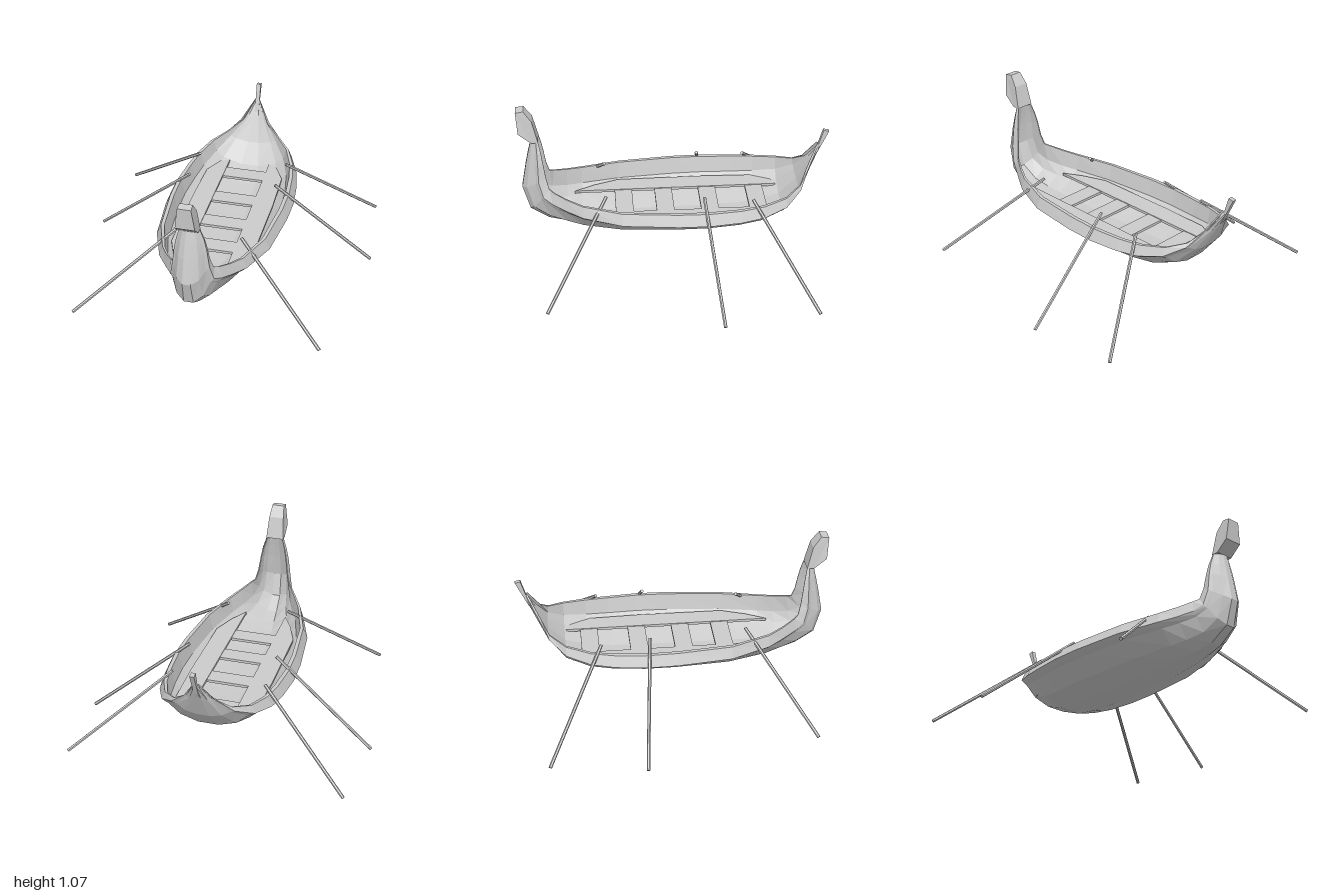
import * as THREE from 'three';

const mat = new THREE.MeshStandardMaterial({ color: 0xcccccc, flatShading: true });

function addMesh(parent, name, geometry) {
  const mesh = new THREE.Mesh(geometry, mat);
  mesh.name = name;
  parent.add(mesh);
  return mesh;
}

// Stations from stern to neck: keel z, keel y, rim z, rim y, half width
const STATIONS = [
  [-0.955, 0.74, -0.925, 0.75, 0.015],
  [-0.89, 0.61, -0.85, 0.61, 0.1],
  [-0.81, 0.455, -0.8, 0.54, 0.2],
  [-0.7, 0.325, -0.7, 0.505, 0.3],
  [-0.55, 0.268, -0.55, 0.485, 0.365],
  [-0.4, 0.248, -0.4, 0.477, 0.395],
  [-0.2, 0.238, -0.2, 0.475, 0.415],
  [0, 0.235, 0, 0.475, 0.41],
  [0.35, 0.237, 0.35, 0.475, 0.37],
  [0.6, 0.25, 0.6, 0.49, 0.28],
  [0.7, 0.262, 0.7, 0.51, 0.22],
  [0.82, 0.285, 0.78, 0.535, 0.165],
  [0.94, 0.36, 0.81, 0.55, 0.135],
  [0.985, 0.52, 0.828, 0.62, 0.115],
  [0.955, 0.68, 0.842, 0.72, 0.1],
  [0.935, 0.77, 0.852, 0.785, 0.085],
  [0.912, 0.865, 0.868, 0.865, 0.058],
];

// Half section: [fraction from keel to rim, fraction of half width], outside then inside
const SECTION = [
  [0, 0.22], [0.2, 0.6], [0.58, 0.86], [0.62, 0.92], [0.7, 1], [1, 0.92],
  [1, 0.86], [0.55, 0.8], [0.3, 0.62], [0.09, 0.2],
];

// Hollow hull lofted through closed cross-sections
function hullGeometry() {
  const ring = [...SECTION, ...SECTION.map(([t, f]) => [t, -f]).reverse()];
  const n = ring.length;
  const positions = [];
  const index = [];
  STATIONS.forEach(([zk, yk, zr, yr, w], i) => {
    ring.forEach(([t, f], j) => {
      positions.push(w * f, yk + (yr - yk) * t, zk + (zr - zk) * t);
      if (i === STATIONS.length - 1) return;
      const a = i * n + j;
      const b = i * n + ((j + 1) % n);
      index.push(a, b, b + n, a, b + n, a + n);
    });
  });
  const g = new THREE.BufferGeometry();
  g.setAttribute('position', new THREE.Float32BufferAttribute(positions, 3));
  g.setIndex(index);
  g.computeVertexNormals();
  return g;
}

function shapeOf(points) {
  return new THREE.Shape(points.map(([x, y]) => new THREE.Vector2(x, y)));
}

// Side profile (z, y) extruded across x and narrowed towards the top
function profileGeometry(points, halfWidth) {
  const g = new THREE.ExtrudeGeometry(shapeOf(points), { depth: 2, bevelEnabled: false });
  g.translate(0, 0, -1);
  g.rotateY(-Math.PI / 2);
  const p = g.attributes.position;
  for (let i = 0; i < p.count; i++) p.setX(i, p.getX(i) * halfWidth(p.getY(i)));
  g.computeVertexNormals();
  return g;
}

// Square bar between two points
function bar(parent, name, from, to, radius) {
  const a = new THREE.Vector3(...from);
  const b = new THREE.Vector3(...to);
  const dir = b.clone().sub(a);
  const mesh = addMesh(parent, name, new THREE.CylinderGeometry(radius, radius, dir.length(), 6));
  mesh.position.copy(a).add(b).multiplyScalar(0.5);
  mesh.quaternion.setFromUnitVectors(new THREE.Vector3(0, 1, 0), dir.normalize());
}

export function createModel() {
  const boat = new THREE.Group();
  boat.name = 'rowingLongship';

  addMesh(boat, 'hull', hullGeometry());

  // Carved block on top of the neck
  const head = [[0.912, 0.855], [0.99, 0.92], [1, 1.063], [0.95, 1.07], [0.9, 1], [0.866, 0.855]];
  addMesh(boat, 'prowHead', profileGeometry(head, (y) => 0.06 - Math.max(0, y - 0.92) * 0.13));

  // Raking stern post
  const post = [[-0.905, 0.64], [-0.965, 0.845], [-1, 0.838], [-0.955, 0.74], [-0.925, 0.675]];
  addMesh(boat, 'sternPost', profileGeometry(post, () => 0.014));

  // Long side decks
  const plank = [[0.14, -0.69], [0.2, -0.66], [0.265, -0.53], [0.275, -0.2], [0.27, 0.36], [0.21, 0.52], [0.14, 0.65]];
  for (const s of [1, -1]) {
    const shape = shapeOf(plank.map(([x, z]) => [s * x, z]));
    const g = new THREE.ExtrudeGeometry(shape, { depth: 0.018, bevelEnabled: false });
    g.rotateX(Math.PI / 2);
    addMesh(boat, s > 0 ? 'leftSideDeck' : 'rightSideDeck', g).position.y = 0.37;
  }

  // Cross benches between the side decks
  for (const z of [-0.54, -0.225, 0.065, 0.33]) {
    addMesh(boat, 'crossBench', new THREE.BoxGeometry(0.29, 0.018, 0.115)).position.set(0, 0.356, z);
  }

  // Three oars on each side: inner end, outer end
  const oars = [
    [[0.3, 0.522, -0.48], [0.89, 0.04, -0.84]],
    [[0.29, 0.545, -0.17], [0.943, 0.01, -0.245]],
    [[0.21, 0.53, 0.45], [0.79, 0.06, 0.84]],
  ];
  for (const s of [1, -1]) {
    for (const [a, b] of oars) {
      bar(boat, s > 0 ? 'leftOar' : 'rightOar', [s * a[0], a[1], a[2]], [s * b[0], b[1], b[2]], 0.011);
    }
  }
  return boat;
}
